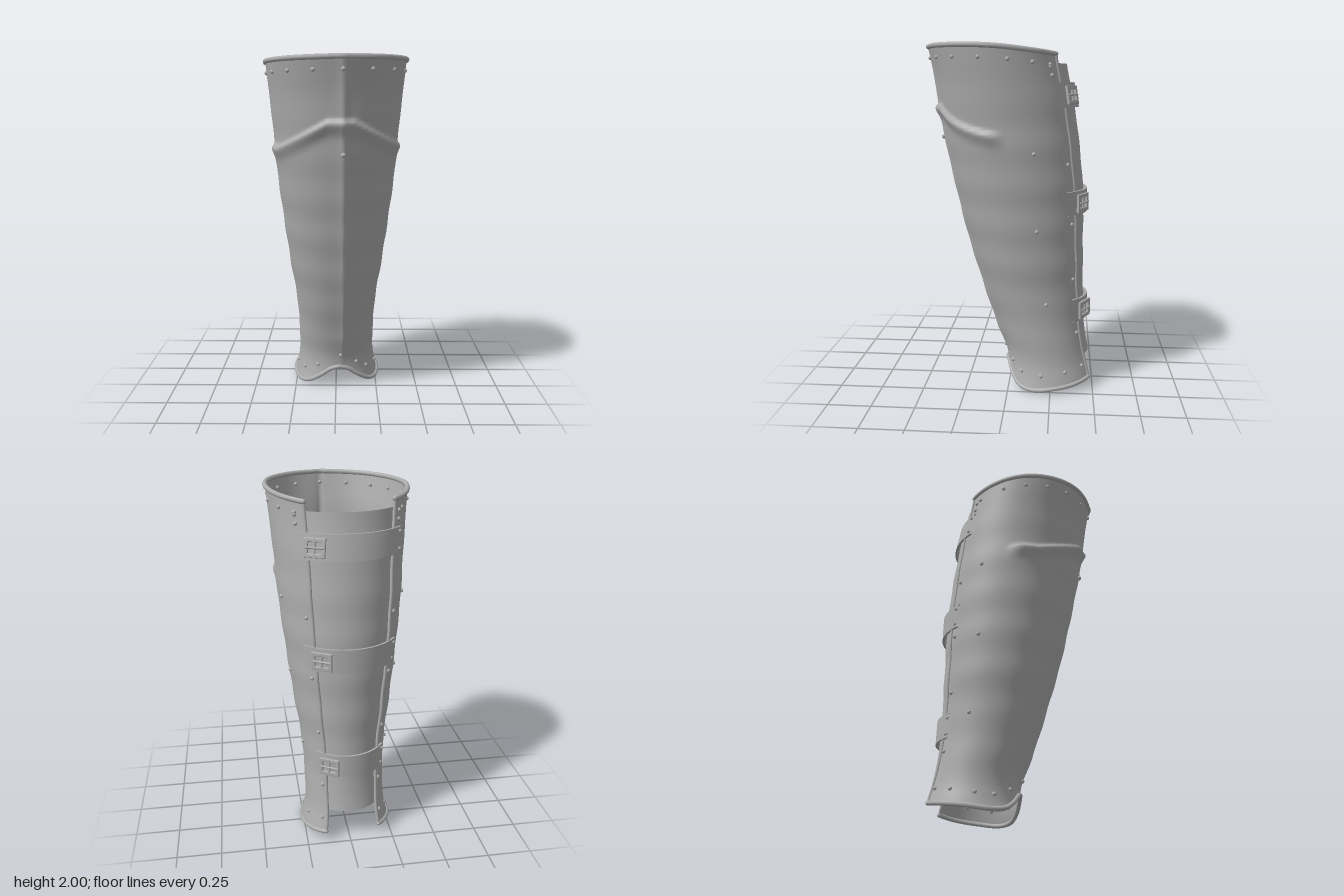
import * as THREE from 'three';
import { toCreasedNormals } from 'three/addons/utils/BufferGeometryUtils.js';

const D = Math.PI / 180;
const curve = (xs, vs) => {
  const c = new THREE.CubicInterpolant(xs, vs, 1, [0]);
  return (t) => c.evaluate(THREE.MathUtils.clamp(t, xs[0], xs[xs.length - 1]))[0];
};

// Profiles over height: half width, front line and back line of the leg
const halfWidth = curve([0, 0.06, 0.15, 0.33, 0.55, 0.76, 1, 1.2, 1.4, 1.6, 1.82, 2],
  [0.268, 0.255, 0.238, 0.235, 0.247, 0.277, 0.307, 0.33, 0.35, 0.362, 0.38, 0.395]);
const frontZ = curve([0, 0.06, 0.19, 0.35, 0.6, 0.87, 1.18, 1.5, 1.82, 2],
  [0.045, 0.02, 0.015, 0.06, 0.143, 0.222, 0.3, 0.366, 0.417, 0.46]);
const backZ = curve([0, 0.07, 0.2, 0.3, 0.5, 0.87, 1.2, 1.45, 1.7, 1.9, 2],
  [-0.54, -0.52, -0.485, -0.465, -0.45, -0.443, -0.435, -0.41, -0.372, -0.33, -0.32]);

// Height of the lower and upper edge by angle from the front (degrees)
const lowEdge = curve([0, 12, 28, 45, 62, 90, 120, 148],
  [0.133, 0.118, 0.068, 0.026, 0.013, 0.03, 0.05, 0.07]);
const highEdge = curve([0, 45, 90, 120, 150], [1.985, 1.981, 1.97, 1.95, 1.932]);
const bottomAt = (t) => lowEdge(Math.abs(t / D - 5));
const topAt = (t) => highEdge(Math.abs(t) / D) + 0.006 * Math.sin(t);

const LEFT = 146 * D;     // opening edge on +x
const RIGHT = -137 * D;   // opening edge on -x

// Point on the leg surface at angle t, height y, raised by off
function surf(t, y, off = 0) {
  const a = halfWidth(y), f = frontZ(y), b = backZ(y);
  const d = (f - b) / 2, x = a * Math.sin(t);
  if (Math.cos(t) > 0) {
    // shin keel
    const amp = 0.024 * THREE.MathUtils.smoothstep(y, 0.1, 0.35) *
      (1 - 0.35 * THREE.MathUtils.smoothstep(y, 1.75, 1.98));
    off += amp * Math.exp(-Math.abs(x - 0.042) / 0.035);
  }
  // raised brow below the knee
  const side = THREE.MathUtils.clamp((Math.abs(x - 0.03) - 0.07) / 0.27, 0, 1);
  const e = 1.645 - 0.15 * side - y;
  const mask = 1 - THREE.MathUtils.smoothstep(Math.abs(t), 72 * D, 88 * D);
  off += 0.024 * mask * Math.exp(-((e / (e < 0 ? 0.016 : 0.05)) ** 2));
  // soft hammered waves
  off += 0.002 * Math.sin(y * 27) * Math.sin(y * Math.PI / 2);
  const n = new THREE.Vector2(Math.sin(t) / a, Math.cos(t) / d).normalize();
  return new THREE.Vector3(x + n.x * off, y, (f + b) / 2 + d * Math.cos(t) + n.y * off);
}

// Grid surface from a point function p(u, v)
function sheet(p, nu, nv) {
  const pos = [], idx = [];
  for (let j = 0; j <= nv; j++)
    for (let i = 0; i <= nu; i++) pos.push(...p(i / nu, j / nv).toArray());
  for (let j = 0; j < nv; j++)
    for (let i = 0; i < nu; i++) {
      const a = j * (nu + 1) + i, b = a + 1, c = a + nu + 1, d = c + 1;
      idx.push(a, b, d, a, d, c);
    }
  const g = new THREE.BufferGeometry();
  g.setAttribute('position', new THREE.Float32BufferAttribute(pos, 3));
  g.setIndex(idx);
  g.computeVertexNormals();
  return g;
}

export function createModel() {
  const steel = new THREE.MeshStandardMaterial({ color: 0xadadad, side: THREE.DoubleSide });
  steel.name = 'steel';
  const model = new THREE.Group();
  model.name = 'greave';
  const add = (name, geo, parent = model) => {
    const m = new THREE.Mesh(geo, steel);
    m.name = name;
    parent.add(m);
    return m;
  };
  const lerp = THREE.MathUtils.lerp;

  // Shin shell
  add('shinShell', sheet((u, v) => {
    const t = lerp(RIGHT, LEFT, u);
    return surf(t, lerp(bottomAt(t), topAt(t), v));
  }, 150, 140));

  // Calf plate tucked inside the opening
  add('calfPlate', sheet((u, v) =>
    surf(lerp(132 * D, 233 * D, u), lerp(0.19, 1.89, v), -0.012), 40, 60));

  // Rolled rims
  const rim = (name, p, r, n) => {
    const pts = Array.from({ length: n + 1 }, (_, i) => p(i / n));
    add(name, new THREE.TubeGeometry(new THREE.CatmullRomCurve3(pts), n * 2, r, 8));
  };
  const around = (u) => lerp(RIGHT, LEFT, u);
  rim('topRim', (u) => surf(around(u), topAt(around(u))), 0.014, 90);
  rim('bottomRim', (u) => surf(around(u), bottomAt(around(u))), 0.013, 90);
  for (const [name, t] of [['leftEdgeRim', LEFT], ['rightEdgeRim', RIGHT]])
    rim(name, (u) => surf(t, lerp(bottomAt(t), topAt(t), u)), 0.009, 50);

  // Rivets, and small balls closing the rim corners
  const ball = new THREE.SphereGeometry(1, 12, 8);
  const stud = (name, t, y, r = 0.012, off = 0) => {
    const m = add(name, ball);
    m.position.copy(surf(t, y, off));
    m.scale.setScalar(r);
  };
  for (const t of [LEFT, RIGHT]) {
    stud('rimCorner', t, topAt(t), 0.014);
    stud('rimCorner', t, bottomAt(t), 0.013);
  }
  for (const deg of [-125, -100, -80, -60, -40, -17, 6, 30, 53, 77, 100, 120, 137])
    stud('topRivet', deg * D, topAt(deg * D) - 0.062);
  for (const deg of [-130, -105, -75, -52, -28, 7, 32, 50, 78, 110, 138])
    stud('bottomRivet', deg * D, bottomAt(deg * D) + 0.08);
  stud('keelRivet', 6.5 * D, 1.48, 0.014);
  for (const s of [-1, 1]) {
    for (const [y, deg] of [[1.41, 108], [0.975, 102], [0.535, 102]])
      stud('sideRivet', s * deg * D, y);
    for (const y of [1.34, 1.0, 0.67, 0.34])
      stud('edgeRivet', s > 0 ? LEFT - 6 * D : RIGHT + 6 * D, y);
    for (const y of [1.87, 1.825])
      stud('cornerRivet', s > 0 ? LEFT - 9 * D : RIGHT + 7 * D, y);
  }

  // Buckle parts
  const frame = new THREE.Shape();
  const rect = (path, w, h) => path.moveTo(-w, -h).lineTo(w, -h).lineTo(w, h).lineTo(-w, h).closePath();
  rect(frame, 0.055, 0.047);
  const hole = new THREE.Path();
  rect(hole, 0.041, 0.033);
  frame.holes.push(hole);
  const frameGeo = new THREE.ExtrudeGeometry(frame, {
    depth: 0.008, bevelEnabled: true, bevelSize: 0.004, bevelThickness: 0.004, bevelSegments: 2,
  });
  const barGeo = new THREE.CylinderGeometry(0.007, 0.007, 0.1, 8);
  const prongGeo = new THREE.CylinderGeometry(0.006, 0.006, 0.1, 8).rotateZ(Math.PI / 2);

  // Three straps with buckles across the calf
  for (const y of [1.72, 1.12, 0.48]) {
    const h = 0.068;
    const rows = [[-h, 0], [-h, 0.012], [h, 0.012], [h, 0]];
    const strap = sheet((u, v) => {
      const [dy, off] = rows[Math.round(v * 3)];
      return surf(lerp(135 * D, 233 * D, u), y + dy, off);
    }, 40, 3);
    add('strap', toCreasedNormals(strap, 0.7));
    for (const s of [-1, 1]) stud('strapRivet', 230 * D, y + s * 0.045, 0.01, 0.012);

    const t = 154 * D, e = 0.02;
    const across = surf(t + e, y).sub(surf(t - e, y)).normalize();
    const up = surf(t, y + 0.06).sub(surf(t, y - 0.06)).normalize();
    const out = across.clone().cross(up).normalize();
    const buckle = new THREE.Group();
    buckle.name = 'buckle';
    buckle.quaternion.setFromRotationMatrix(
      new THREE.Matrix4().makeBasis(across, out.clone().cross(across), out));
    buckle.position.copy(surf(t, y, 0.02));
    add('buckleFrame', frameGeo, buckle);
    add('buckleBar', barGeo, buckle).position.z = 0.006;
    add('buckleProng', prongGeo, buckle).position.z = 0.012;
    model.add(buckle);
  }
  return model;
}
